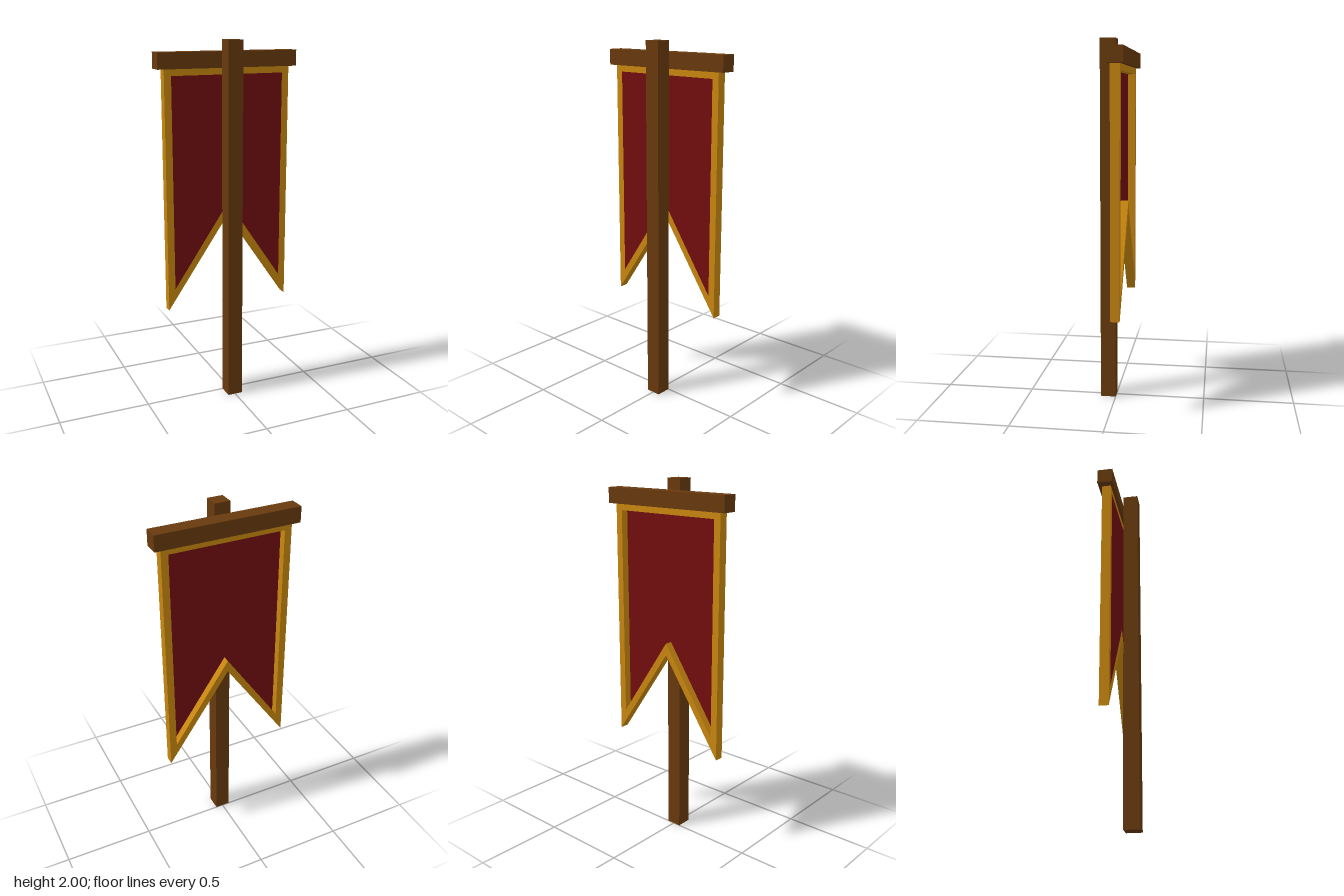
import * as THREE from 'three';

const wood = new THREE.MeshStandardMaterial({ color: 0x683a0d });
wood.name = 'brown wood';
const gold = new THREE.MeshStandardMaterial({ color: 0xc8860f });
gold.name = 'gold trim';
const red = new THREE.MeshStandardMaterial({ color: 0x720d0f });
red.name = 'dark red cloth';

// Swallow-tailed outline: half width, top, tail tip and notch heights
function pennant(Type, halfWidth, top, tip, notch) {
  return new Type([
    [-halfWidth, top], [-halfWidth, tip], [0, notch], [halfWidth, tip], [halfWidth, top],
  ].map(([x, y]) => new THREE.Vector2(x, y)));
}

function addPart(group, name, geometry, material, x, y, z) {
  const mesh = new THREE.Mesh(geometry, material);
  mesh.name = name;
  mesh.position.set(x, y, z);
  group.add(mesh);
}

export function createModel() {
  const model = new THREE.Group();
  model.name = 'banner';

  // Square pole with the crossbar fixed behind it
  addPart(model, 'pole', new THREE.BoxGeometry(0.085, 2, 0.085), wood, 0, 1, 0.0425);
  addPart(model, 'crossbar', new THREE.BoxGeometry(0.79, 0.085, 0.085), wood, 0, 1.8975, -0.0425);

  // Thick gold border, open in the middle
  const border = pennant(THREE.Shape, 0.357, 1.856, 0.54, 1.06);
  border.holes.push(pennant(THREE.Path, 0.318, 1.82, 0.66, 1.127));
  addPart(model, 'border',
    new THREE.ExtrudeGeometry(border, { depth: 0.05, bevelEnabled: false }), gold, 0, 0, -0.065);

  // Cloth flush with the front of the border, recessed at the back
  const cloth = pennant(THREE.Shape, 0.318, 1.82, 0.66, 1.127);
  addPart(model, 'cloth',
    new THREE.ExtrudeGeometry(cloth, { depth: 0.008, bevelEnabled: false }), red, 0, 0, -0.023);

  return model;
}
